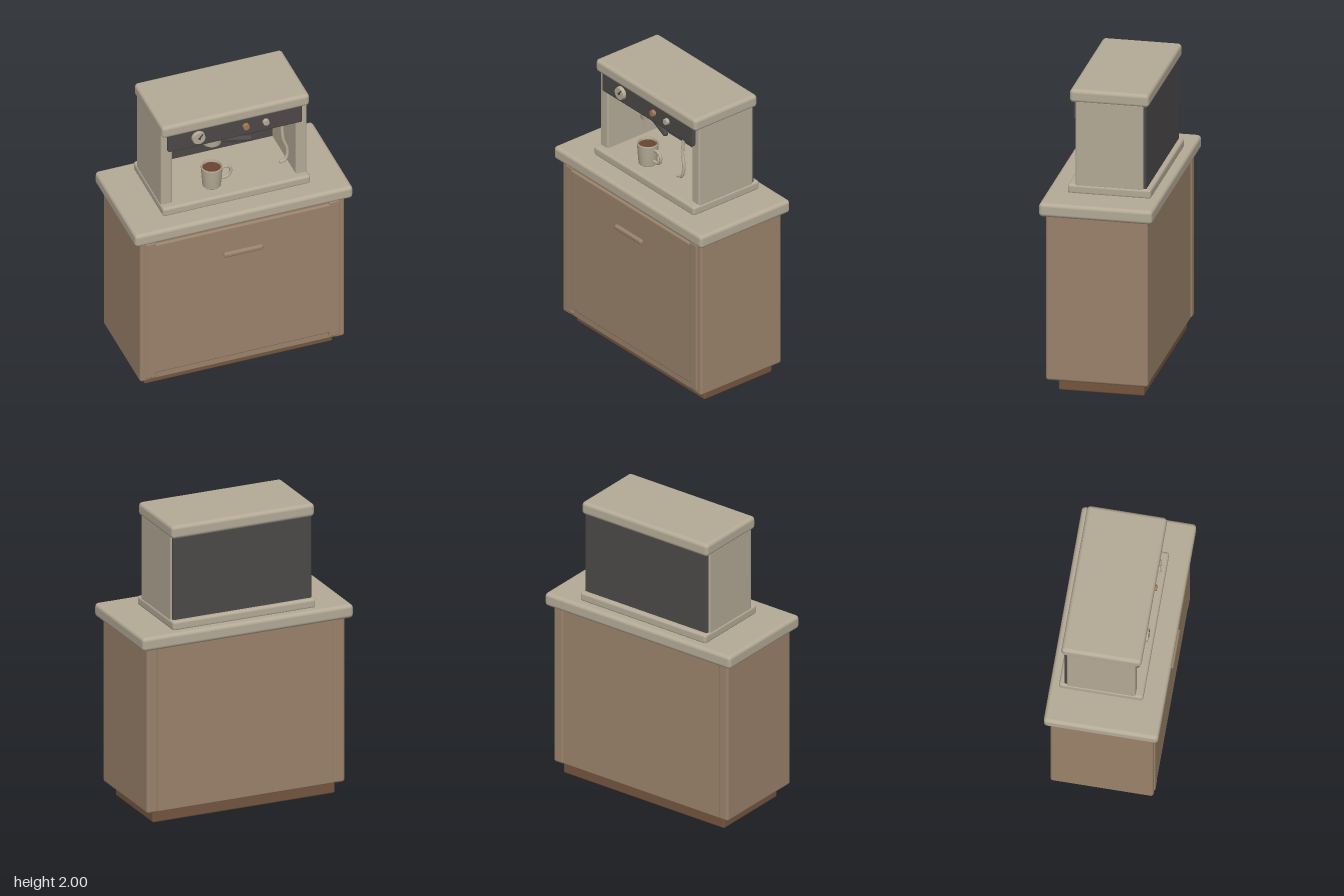
import * as THREE from 'three';
import { RoundedBoxGeometry } from 'three/addons/geometries/RoundedBoxGeometry.js';

const mat = (name, color, side = THREE.FrontSide) => {
  const m = new THREE.MeshStandardMaterial({ color, side });
  m.name = name;
  return m;
};

export function createModel() {
  const cream = mat('cream', 0xb4aa96);
  const wood = mat('wood', 0x9a826a);
  const darkWood = mat('darkWood', 0x74553f);
  const charcoal = mat('charcoal', 0x4c4848);
  const copper = mat('copper', 0xa27850);
  const coffeeBrown = mat('coffeeBrown', 0x6a4430);

  const model = new THREE.Group();
  model.name = 'coffeeStation';
  const group = (name) => {
    const g = new THREE.Group();
    g.name = name;
    model.add(g);
    return g;
  };
  const add = (parent, name, geometry, material, x = 0, y = 0, z = 0) => {
    const mesh = new THREE.Mesh(geometry, material);
    mesh.name = name;
    mesh.position.set(x, y, z);
    parent.add(mesh);
    return mesh;
  };
  // Rounded box given by its limits on each axis
  const box = (parent, name, material, [x0, x1], [y0, y1], [z0, z1], r = 0.01) =>
    add(parent, name, new RoundedBoxGeometry(x1 - x0, y1 - y0, z1 - z0, 3, r), material,
      (x0 + x1) / 2, (y0 + y1) / 2, (z0 + z1) / 2);
  const mirrored = (s, a, b) => (s > 0 ? [a, b] : [-b, -a]);
  // Cylinder whose axis points to the front
  const disc = (r0, r1, depth) => new THREE.CylinderGeometry(r0, r1, depth, 32).rotateX(Math.PI / 2);

  // Cabinet
  const cabinet = group('cabinet');
  box(cabinet, 'plinth', darkWood, [-0.645, 0.645], [0, 0.1], [-0.3, 0.262], 0.012);
  box(cabinet, 'carcass', wood, [-0.64, 0.64], [0.08, 1.215], [-0.326, 0.325]);
  box(cabinet, 'doorPanel', wood, [-0.61, 0.61], [0.135, 1.172], [0.3, 0.342], 0.012);
  for (const s of [-1, 1]) {
    box(cabinet, 'sidePanel', wood, mirrored(s, 0.62, 0.7), [0.08, 1.215], [-0.335, 0.335], 0.018);
    box(cabinet, 'doorStile', wood, mirrored(s, 0.59, 0.665), [0.1, 1.19], [0.3, 0.342], 0.012);
    add(cabinet, 'handlePost', disc(0.01, 0.01, 0.03), wood, s * 0.1, 0.973, 0.345);
  }
  box(cabinet, 'doorHandle', wood, [-0.137, 0.133], [0.955, 0.991], [0.34, 0.37], 0.014);
  box(cabinet, 'countertop', cream, [-0.745, 0.745], [1.205, 1.298], [-0.372, 0.372], 0.025);

  // Espresso machine housing
  const machine = group('espressoMachine');
  box(machine, 'machineBase', cream, [-0.505, 0.505], [1.29, 1.356], [-0.312, 0.235], 0.018);
  box(machine, 'machineTop', cream, [-0.505, 0.505], [1.91, 2], [-0.297, 0.222], 0.025);
  box(machine, 'backPanel', charcoal, [-0.49, 0.49], [1.34, 1.93], [-0.28, -0.24], 0.012);
  for (const s of [-1, 1])
    box(machine, 'machineSide', cream, mirrored(s, 0.422, 0.5), [1.34, 1.93], [-0.262, 0.185], 0.014);
  box(machine, 'controlPanel', charcoal, [-0.46, 0.46], [1.778, 1.93], [0.15, 0.207], 0.014);

  // Gauge and knobs
  add(machine, 'gauge', disc(0.042, 0.047, 0.03), cream, -0.256, 1.856, 0.215);
  const needle = add(machine, 'gaugeNeedle', new THREE.BoxGeometry(0.009, 0.042, 0.005), charcoal, -0.245, 1.87, 0.231);
  needle.rotation.z = -0.65;
  add(machine, 'gaugePin', disc(0.009, 0.009, 0.006), charcoal, -0.254, 1.857, 0.231);
  for (const [name, x, m] of [['copperKnob', 0.07, copper], ['creamKnob', 0.206, cream]])
    add(machine, name, disc(0.02, 0.023, 0.026), m, x, 1.856, 0.216);

  // Brew head with its angled handle
  add(machine, 'brewHead', new THREE.CylinderGeometry(0.078, 0.061, 0.23, 32), cream, -0.117, 1.807, 0.085);
  const handle = add(machine, 'brewHandle', new THREE.CapsuleGeometry(0.019, 0.22, 6, 16), charcoal, 0.015, 1.706, 0.12);
  handle.quaternion.setFromUnitVectors(new THREE.Vector3(0, 1, 0), new THREE.Vector3(0.95, 0, 0.31).normalize());

  // Steam wand
  const wandPath = new THREE.CatmullRomCurve3([
    [0.33, 1.83, 0.165], [0.33, 1.72, 0.18], [0.335, 1.66, 0.188], [0.357, 1.59, 0.195],
    [0.354, 1.53, 0.2], [0.338, 1.505, 0.202], [0.312, 1.5, 0.204],
  ].map((p) => new THREE.Vector3(...p)));
  add(machine, 'steamWand', new THREE.TubeGeometry(wandPath, 40, 0.011, 12), cream);
  add(machine, 'wandTip', new THREE.SphereGeometry(0.012, 12, 8), cream, 0.312, 1.5, 0.204);

  // Cup, open at the top and filled with coffee
  const cup = group('cup');
  cup.position.set(-0.122, 1.356, 0.1);
  const profile = [[0, 0], [0.055, 0], [0.06, 0.006], [0.071, 0.148], [0.069, 0.154],
    [0.064, 0.154], [0.061, 0.148], [0.054, 0.015], [0, 0.015]].map((p) => new THREE.Vector2(...p));
  add(cup, 'cupBody', new THREE.LatheGeometry(profile, 40), cream);
  add(cup, 'coffee', new THREE.CylinderGeometry(0.06, 0.059, 0.006, 32), coffeeBrown, 0, 0.134, 0);
  const loop = new THREE.CatmullRomCurve3([[0.062, 0.12], [0.1, 0.124], [0.128, 0.1], [0.128, 0.07],
    [0.104, 0.042], [0.059, 0.04]].map(([x, y]) => new THREE.Vector3(x, y, 0)));
  add(cup, 'cupHandle', new THREE.TubeGeometry(loop, 32, 0.0105, 12), cream);

  return model;
}
